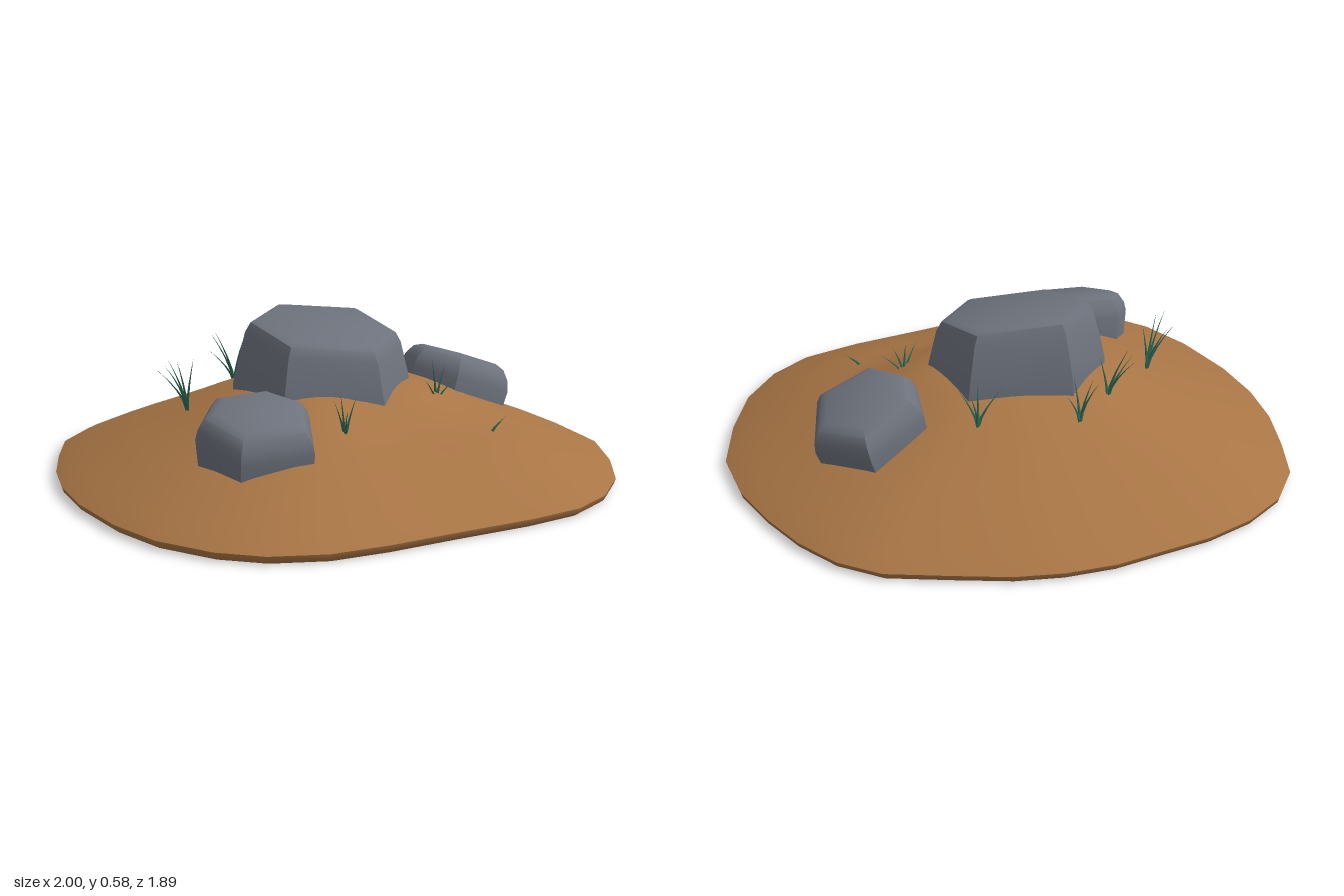
import * as THREE from 'three';
import { toCreasedNormals } from 'three/addons/utils/BufferGeometryUtils.js';

const material = (name, color) => Object.assign(new THREE.MeshStandardMaterial({ color }), { name });

// Skin a stack of rings, from a top centre point outwards and down to a bottom centre point.
function loft(top, rings, bottom, crease) {
  const n = rings[0].length, index = [];
  const points = [top, ...rings.flat(), bottom];
  const at = (r, i) => 1 + r * n + (i % n);
  const last = rings.length - 1;
  for (let i = 0; i < n; i++) {
    index.push(0, at(0, i + 1), at(0, i));
    for (let r = 0; r < last; r++) {
      index.push(at(r, i), at(r, i + 1), at(r + 1, i));
      index.push(at(r, i + 1), at(r + 1, i + 1), at(r + 1, i));
    }
    index.push(at(last, i), at(last, i + 1), points.length - 1);
  }
  const geometry = new THREE.BufferGeometry();
  geometry.setAttribute('position', new THREE.Float32BufferAttribute(points.flat(), 3));
  geometry.setIndex(index);
  return toCreasedNormals(geometry, crease);
}

// Low earth mound with an uneven outline and a shallow dip at the front
function createMound(mat) {
  const outline = [
    [-0.35, -0.95], [-0.17, -0.95], [0, -0.92], [0.18, -0.89], [0.35, -0.83], [0.5, -0.75],
    [0.66, -0.63], [0.84, -0.49], [0.93, -0.35], [0.98, -0.18], [1, 0], [1, 0.2],
    [0.95, 0.42], [0.82, 0.62], [0.67, 0.79], [0.5, 0.9], [0.33, 0.945], [0.13, 0.93],
    [-0.15, 0.88], [-0.4, 0.84], [-0.6, 0.79], [-0.77, 0.69], [-0.88, 0.56], [-0.97, 0.36],
    [-1, 0.15], [-0.99, -0.1], [-0.95, -0.3], [-0.88, -0.48], [-0.78, -0.65], [-0.67, -0.81], [-0.52, -0.91],
  ];
  const profile = [
    [0.12, 0.355], [0.24, 0.345], [0.33, 0.32], [0.42, 0.285], [0.5, 0.25], [0.6, 0.208],
    [0.7, 0.168], [0.8, 0.126], [0.9, 0.08], [0.96, 0.052], [1, 0.03], [0.995, 0.012], [0.98, 0],
  ];
  const dip = (x, z) => 0.04 * Math.exp(-((x - 0.12) ** 2 / 0.09 + (z - 0.4) ** 2 / 0.025));
  const rings = profile.map(([s, y]) => outline.map(([x, z]) =>
    [x * s, s < 0.9 ? y - dip(x * s, z * s) : y, z * s]));
  const mesh = new THREE.Mesh(loft([0, 0.36, 0], rings, [0, 0, 0], 0.8), mat);
  mesh.name = 'mound';
  return mesh;
}

// Rock: outline in plan, a sloping top plane, and rings of [scale, drop below the top]
function createRock({ name, outline, height, slope: [gx, gz], rings, lean = 0 }, mat) {
  const n = outline.length;
  const cx = outline.reduce((sum, p) => sum + p[0], 0) / n;
  const cz = outline.reduce((sum, p) => sum + p[1], 0) / n;
  const place = (x, z, drop) => [
    x + lean * gx * drop, height + gx * (x - cx) + gz * (z - cz) - drop, z + lean * gz * drop];
  const loops = rings.map(([s, drop]) =>
    outline.map(([x, z]) => place(cx + (x - cx) * s, cz + (z - cz) * s, drop)));
  const bottom = place(cx, cz, rings[rings.length - 1][1]);
  const mesh = new THREE.Mesh(loft(place(cx, cz, -0.004), loops, bottom, 0.62), mat);
  mesh.name = name;
  return mesh;
}

const smallRings = [[0.68, 0], [0.84, 0.014], [0.96, 0.05], [1, 0.085], [0.95, 0.2]];
const ROCKS = [
  {
    name: 'largeRock', height: 0.54, slope: [0, -0.19],
    outline: [[-0.06, -0.32], [0.27, -0.15], [0.26, 0.15], [0.01, 0.31], [-0.31, 0.13], [-0.31, -0.18]],
    rings: [[0.72, 0], [0.8, 0.01], [0.86, 0.045], [0.94, 0.15], [1, 0.24], [1, 0.31]],
  },
  {
    name: 'rightFrontRock', height: 0.36, slope: [0.14, -0.26], rings: smallRings, lean: 0.5,
    outline: [[-0.58, 0.08], [-0.38, 0.14], [-0.31, 0.29], [-0.42, 0.47], [-0.66, 0.39], [-0.7, 0.18]],
  },
  {
    name: 'leftRock', height: 0.355, slope: [-0.36, 0], rings: smallRings, lean: 0.8,
    outline: [[0.47, -0.14], [0.7, -0.16], [0.8, 0.05], [0.68, 0.24], [0.46, 0.2], [0.4, 0.02]],
  },
];

// Grass tufts: root position, then blades as [reach x, reach z, height]
const TUFTS = [
  { root: [-0.48, 0.25, -0.22], blades: [[-0.12, 0.05, 0.19], [-0.11, -0.02, 0.16], [-0.04, -0.06, 0.18], [0.03, 0, 0.19], [-0.06, 0.03, 0.2]] },
  { root: [-0.19, 0.28, -0.35], blades: [[-0.11, 0, 0.14], [-0.04, -0.1, 0.18], [0.02, 0.03, 0.17], [-0.06, -0.04, 0.2]] },
  { root: [-0.02, 0.26, -0.41], blades: [[-0.01, -0.09, 0.2], [0.08, -0.03, 0.15], [-0.05, -0.01, 0.17], [0.03, 0, 0.2]] },
  { root: [0.3, 0.28, -0.25], blades: [[-0.1, -0.01, 0.13], [0.06, -0.09, 0.17], [0.04, 0.07, 0.14], [0.06, -0.05, 0.16], [-0.01, 0.01, 0.17]] },
  { root: [0.29, 0.25, 0.25], blades: [[-0.09, 0.04, 0.11], [0.01, -0.04, 0.16], [0.08, 0.03, 0.1], [0.05, -0.01, 0.14]] },
  { root: [-0.22, 0.22, 0.37], blades: [[-0.03, 0.05, 0.13], [0.04, 0.01, 0.16], [0, -0.03, 0.17], [-0.04, -0.01, 0.15]] },
  { root: [0.33, 0.19, 0.505], blades: [[0.06, 0.015, 0.06], [0.04, 0.01, 0.04]] },
];

// A slim three-sided spike that bends outwards towards its tip
function createBlade([dx, dz, h], mat) {
  const geometry = new THREE.ConeGeometry(0.008, h, 3, 4).translate(0, h / 2, 0);
  const pos = geometry.attributes.position;
  for (let i = 0; i < pos.count; i++) {
    const bend = Math.max(0, pos.getY(i) / h) ** 1.5;
    pos.setX(i, pos.getX(i) + dx * bend);
    pos.setZ(i, pos.getZ(i) + dz * bend);
  }
  geometry.computeVertexNormals();
  const mesh = new THREE.Mesh(geometry, mat);
  mesh.name = 'grassBlade';
  return mesh;
}

export function createModel() {
  const earth = material('earth', 0xa87545);
  const stone = material('stone', 0x6d727c);
  const grass = material('grass', 0x2f6f5a);

  const model = new THREE.Group();
  model.name = 'rockyMound';
  model.add(createMound(earth));
  for (const rock of ROCKS) model.add(createRock(rock, stone));
  for (const { root, blades } of TUFTS) {
    const tuft = new THREE.Group();
    tuft.name = 'grassTuft';
    tuft.position.set(...root);
    for (const blade of blades) tuft.add(createBlade(blade, grass));
    model.add(tuft);
  }
  return model;
}
